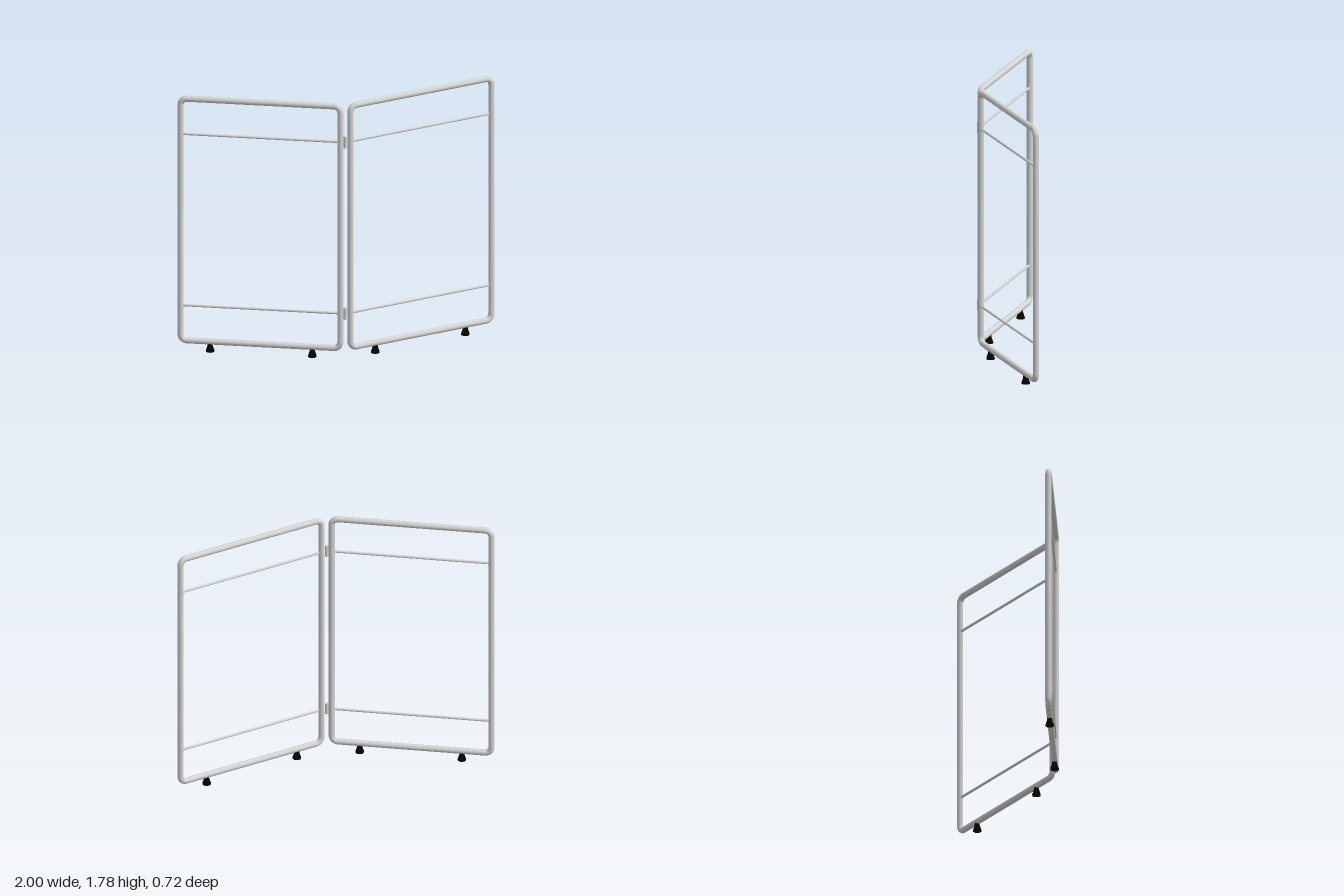
import * as THREE from 'three';

const mat = (name, color) => {
  const m = new THREE.MeshStandardMaterial({ color });
  m.name = name;
  return m;
};

export function createModel() {
  const steel = mat('light steel', 0xd4d4d4);
  const rubber = mat('black rubber', 0x050505);

  const add = (parent, name, geometry, material, x, y, z = 0) => {
    const mesh = new THREE.Mesh(geometry, material);
    mesh.name = name;
    mesh.position.set(x, y, z);
    parent.add(mesh);
  };

  const R = 0.0205, CORNER = 0.043;
  const X0 = 0.033, X1 = 1.093, Y0 = 0.069, Y1 = 1.764;
  const RAILS = [0.315, 1.517];

  // Centre line of the frame tube: a closed rounded rectangle
  const corners = [[X1, Y0], [X1, Y1], [X0, Y1], [X0, Y0]].map(([x, y]) => new THREE.Vector3(x, y, 0));
  const toward = (a, b) => a.clone().add(b.clone().sub(a).setLength(CORNER));
  const points = [];
  corners.forEach((c, i) => {
    const a = toward(c, corners[(i + 3) % 4]);
    const b = toward(c, corners[(i + 1) % 4]);
    const centre = a.clone().add(b).sub(c);
    for (let k = 0; k <= 10; k++) {
      const t = (k / 10) * Math.PI / 2;
      points.push(centre.clone()
        .addScaledVector(a.clone().sub(centre), Math.cos(t))
        .addScaledVector(b.clone().sub(centre), Math.sin(t)));
    }
  });

  // Place the tube rings exactly at these points so the corners stay round
  const n = points.length;
  const path = new THREE.Curve();
  path.getPointAt = (u, target = new THREE.Vector3()) => target.copy(points[Math.round(u * n) % n]);
  path.getTangentAt = (u, target = new THREE.Vector3()) => {
    const i = Math.round(u * n) % n;
    const before = points[i].clone().sub(points[(i + n - 1) % n]).normalize();
    return target.copy(points[(i + 1) % n]).sub(points[i]).normalize().add(before).normalize();
  };
  const frameGeo = new THREE.TubeGeometry(path, n, R, 24, true);

  const railGeo = new THREE.CylinderGeometry(0.0085, 0.0085, X1 - X0 - 0.02, 16).rotateZ(Math.PI / 2);
  const footGeo = new THREE.LatheGeometry([
    [0, 0], [0.028, 0], [0.028, 0.008], [0.025, 0.016],
    [0.017, 0.042], [0.016, 0.056], [0, 0.056],
  ].map(([x, y]) => new THREE.Vector2(x, y)), 24);
  const hingeGeo = new THREE.CylinderGeometry(0.012, 0.012, 0.08, 20);

  // One panel, extending along local +x from the hinge axis
  const makePanel = (name, angle, gap) => {
    const panel = new THREE.Group();
    panel.name = name;
    add(panel, 'frameTube', frameGeo, steel, gap, 0);
    for (const y of RAILS) add(panel, 'crossRail', railGeo, steel, gap + (X0 + X1) / 2, y);
    for (const x of [0.219, 0.897]) add(panel, 'foot', footGeo, rubber, gap + x, 0);
    panel.rotation.y = THREE.MathUtils.degToRad(angle);
    panel.position.set(0.113, 0, 0.331);
    return panel;
  };

  const model = new THREE.Group();
  model.name = 'foldingScreenFrame';
  model.add(makePanel('rightPanel', 180, 0), makePanel('leftPanel', 37.7, 0.006));

  // Hinge barrels between the panels
  for (const y of RAILS) add(model, 'hinge', hingeGeo, steel, 0.113, y, 0.331);
  return model;
}
